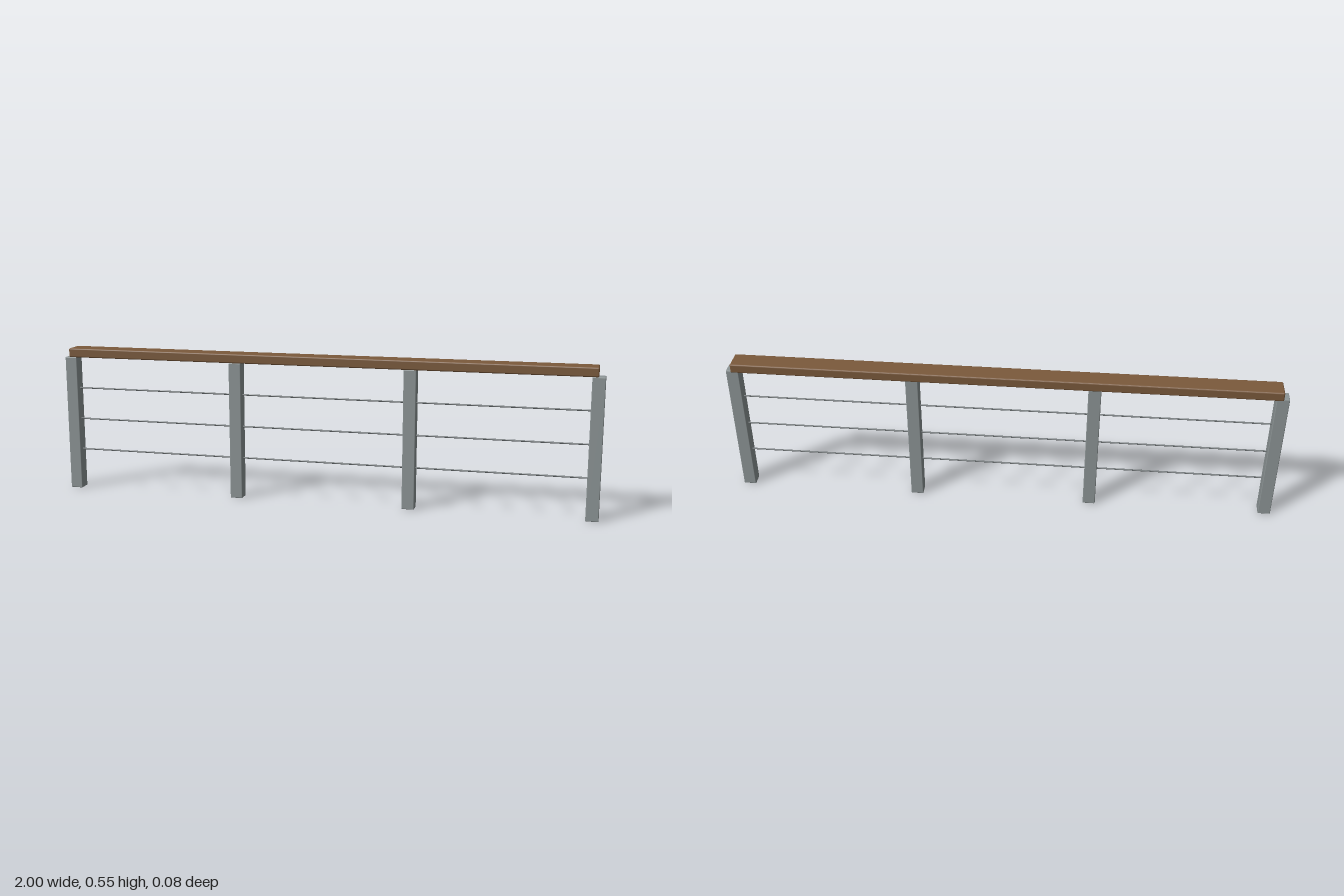
import * as THREE from 'three';
import { RoundedBoxGeometry } from 'three/addons/geometries/RoundedBoxGeometry.js';

const POST = 0.046, POST_HEIGHT = 0.512, END_X = 0.977;

export function createModel() {
  const model = new THREE.Group();
  model.name = 'cableRailing';

  const material = (name, color) => {
    const m = new THREE.MeshStandardMaterial({ color });
    m.name = name;
    return m;
  };
  const steel = material('grey steel', 0x8d9596);
  const wood = material('brown wood', 0x7b5a3c);
  const wire = material('dark cable', 0x707678);

  const add = (name, geometry, mat, x, y, z = 0) => {
    const mesh = new THREE.Mesh(geometry, mat);
    mesh.name = name;
    mesh.position.set(x, y, z);
    model.add(mesh);
  };

  // Four evenly spaced square posts with softened edges
  const postGeometry = new RoundedBoxGeometry(POST, POST_HEIGHT, POST, 2, 0.003);
  for (let i = 0; i < 4; i++) {
    add(`post${i + 1}`, postGeometry, steel, END_X * (-1 + (2 * i) / 3), POST_HEIGHT / 2);
  }

  // Wooden handrail resting on the posts
  add('handrail', new RoundedBoxGeometry(END_X * 2, 0.034, 0.076, 2, 0.005), wood, 0, 0.531);

  // Three taut cables running through the posts
  const cableGeometry = new THREE.CylinderGeometry(0.003, 0.003, END_X * 2, 10).rotateZ(Math.PI / 2);
  [0.152, 0.272, 0.392].forEach((y, i) => add(`cable${i + 1}`, cableGeometry, wire, 0, y));

  return model;
}
